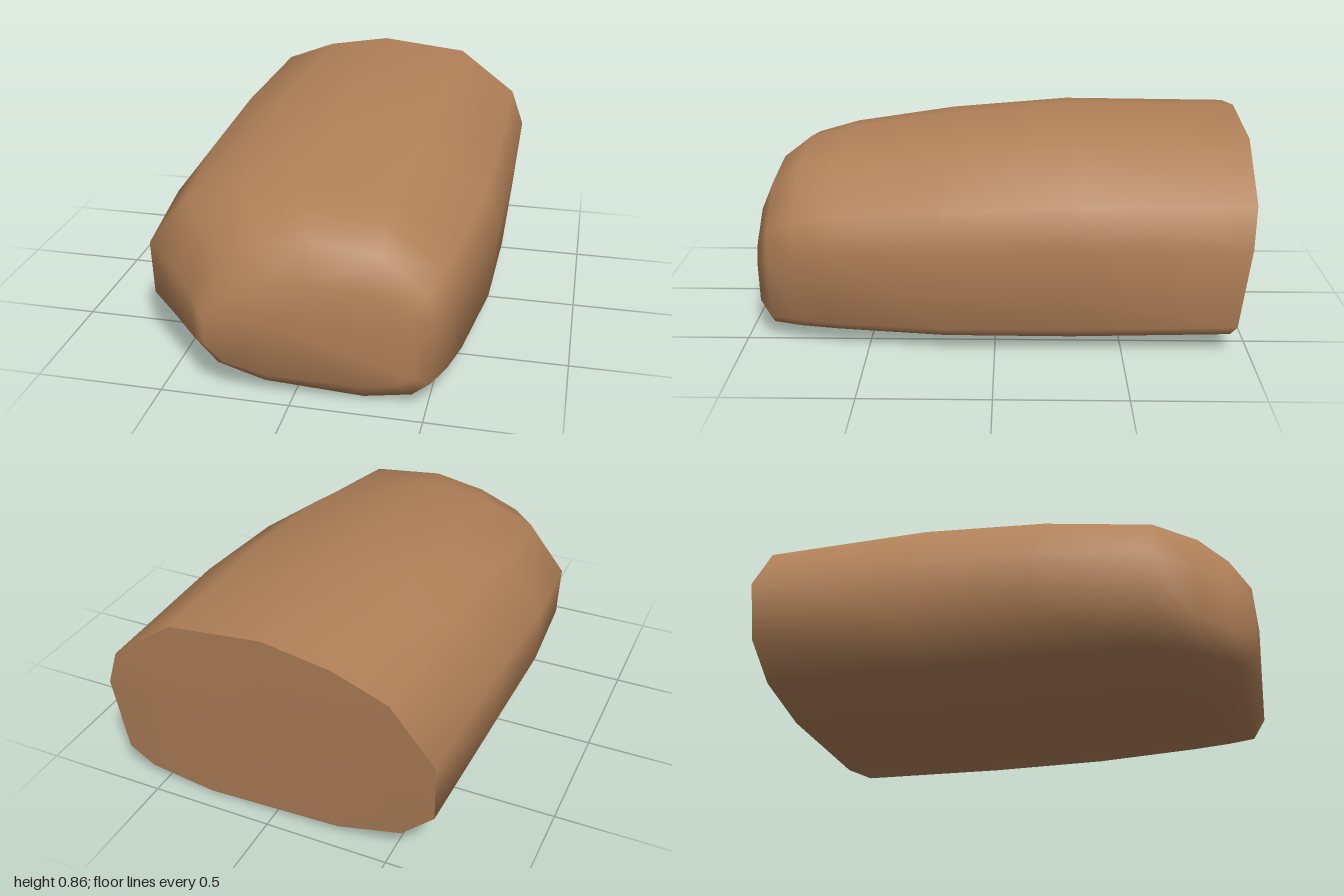
import * as THREE from 'three';

// Lumpy cross-section, clockwise as seen from the front
const outline = [
  [-0.02, 0.857], [0.37, 0.815], [0.63, 0.62], [0.69, 0.46], [0.66, 0.12], [0.56, 0.045], [0.29, 0],
  [-0.28, 0.025], [-0.55, 0.1], [-0.685, 0.235], [-0.695, 0.49], [-0.52, 0.725], [-0.3, 0.81],
];

// Stations along the body: z, left edge, right edge, bottom, top
const stations = [
  [-0.97, -0.68, 0.68, 0.012, 0.85],
  [-0.3, -0.69, 0.69, 0, 0.857],
  [0.2, -0.695, 0.68, 0, 0.81],
  [0.63, -0.66, 0.62, 0.005, 0.742],
  [0.79, -0.51, 0.58, 0.01, 0.715],
  [0.9, -0.4, 0.53, 0.015, 0.635],
  [0.965, -0.33, 0.47, 0.09, 0.5],
];

function ring([z, x0, x1, y0, y1], index) {
  return outline.map(([x, y]) => {
    const u = (x + 0.695) / 1.385, v = y / 0.857;
    // The cut end leans back toward its top; the nose bulges on one side
    let dz = 0;
    if (index === 0) dz = 0.04 - 0.065 * Math.min(1, v / 0.75);
    if (index === stations.length - 1) dz = 0.03 * (0.5 - u);
    return [x0 + (x1 - x0) * u, y0 + (y1 - y0) * v, z + dz];
  });
}

function indexed(points, faces) {
  const g = new THREE.BufferGeometry();
  g.setAttribute('position', new THREE.Float32BufferAttribute(points.flat(), 3));
  g.setIndex(faces);
  g.computeVertexNormals();
  return g;
}

export function createModel() {
  const group = new THREE.Group();
  group.name = 'loaf';
  const crust = new THREE.MeshStandardMaterial({ color: 0xb08058 });
  crust.name = 'brown crust';

  const n = outline.length;
  const rings = stations.map(ring);

  // Smooth body with rounded nose
  const points = rings.flat(), faces = [];
  for (let i = 0; i < rings.length - 1; i++) {
    for (let j = 0; j < n; j++) {
      const a = i * n + j, b = i * n + (j + 1) % n;
      faces.push(a, a + n, b, b, a + n, b + n);
    }
  }
  const nose = points.length, last = nose - n;
  points.push([-0.08, 0.32, 0.985]);
  for (let j = 0; j < n; j++) faces.push(nose, last + (j + 1) % n, last + j);
  const body = new THREE.Mesh(indexed(points, faces), crust);
  body.name = 'body';

  // Flat cut end with a crisp rim
  const capFaces = [];
  for (let j = 0; j < n; j++) capFaces.push(n, j, (j + 1) % n);
  const cap = new THREE.Mesh(indexed([...rings[0], [0, 0.42, -0.97]], capFaces), crust);
  cap.name = 'cutEnd';

  group.add(body, cap);
  return group;
}
